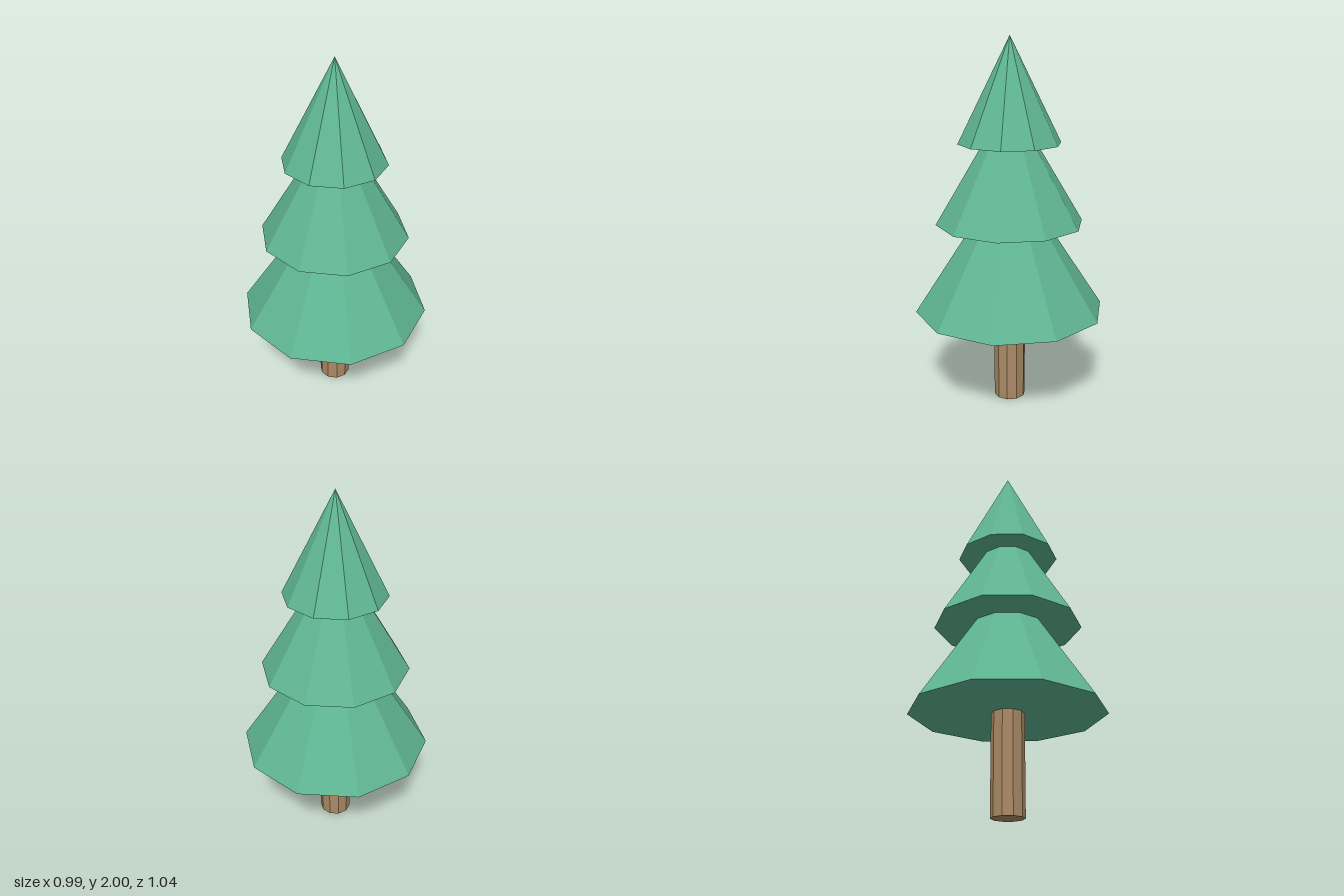
import * as THREE from 'three';

const SIDES = 10;

export function createModel() {
  const tree = new THREE.Group();
  tree.name = 'pineTree';

  const needleGreen = new THREE.MeshStandardMaterial({ color: 0x5fb592, flatShading: true });
  needleGreen.name = 'needleGreen';
  const barkBrown = new THREE.MeshStandardMaterial({ color: 0xab8a65, flatShading: true });
  barkBrown.name = 'barkBrown';

  const add = (name, geometry, material, y) => {
    const mesh = new THREE.Mesh(geometry, material);
    mesh.name = name;
    mesh.position.y = y;
    tree.add(mesh);
  };

  // Trunk, running slightly into the lowest tier
  const trunkHeight = 0.56;
  add('trunk', new THREE.CylinderGeometry(0.087, 0.087, trunkHeight, SIDES), barkBrown, trunkHeight / 2);

  // Foliage: stacked cones, each with its base and apex height
  const tiers = [
    { name: 'lowerFoliage', radius: 0.52, base: 0.53, apex: 1.32 },
    { name: 'middleFoliage', radius: 0.4, base: 1.02, apex: 1.69 },
    { name: 'topFoliage', radius: 0.276, base: 1.45, apex: 2 },
  ];
  for (const { name, radius, base, apex } of tiers) {
    add(name, new THREE.ConeGeometry(radius, apex - base, SIDES), needleGreen, (base + apex) / 2);
  }

  return tree;
}
